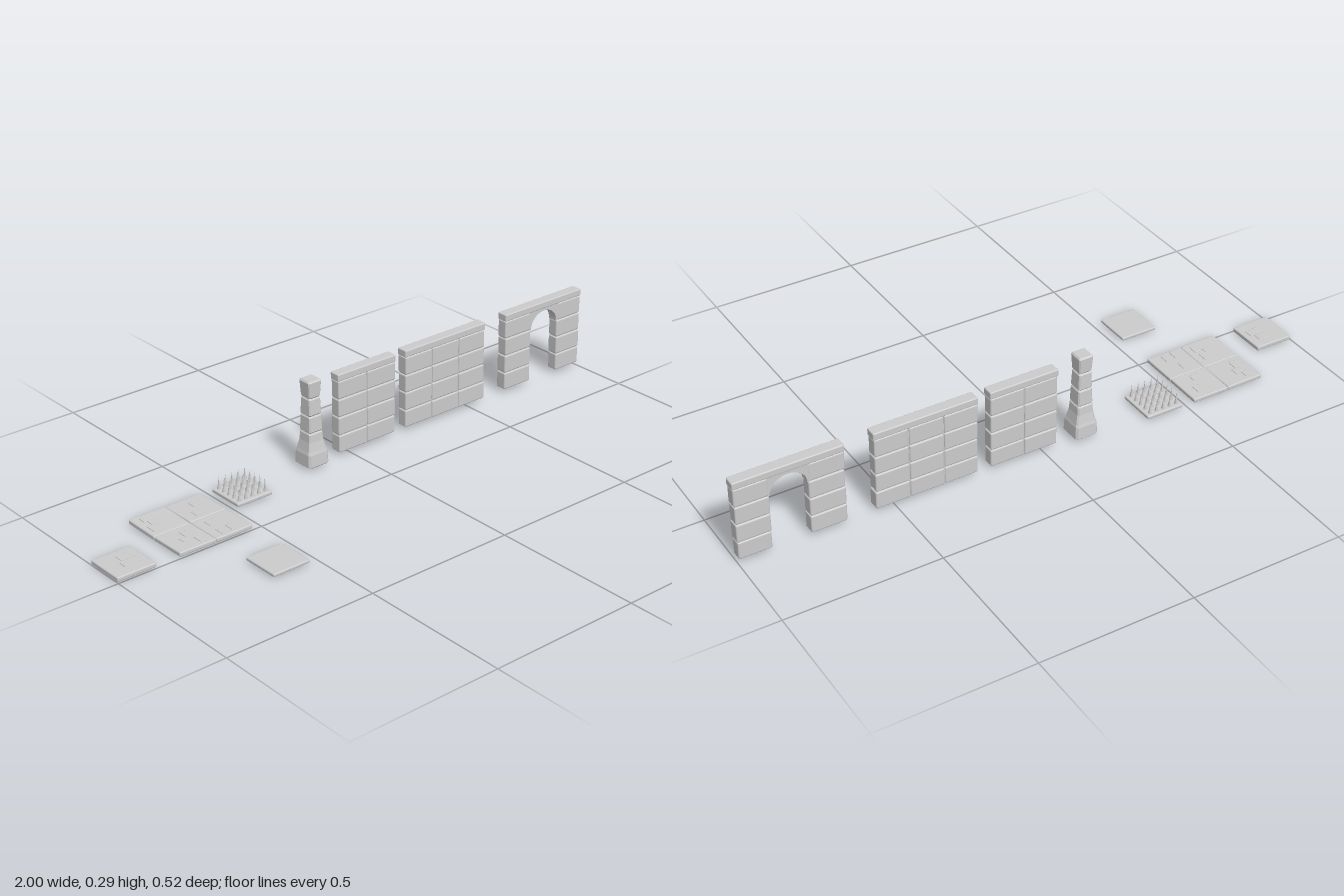
import * as THREE from 'three';
import { RoundedBoxGeometry } from 'three/addons/geometries/RoundedBoxGeometry.js';

const stone = new THREE.MeshStandardMaterial({ color: 0xcccccc });
const facetedStone = new THREE.MeshStandardMaterial({ color: 0xcccccc, flatShading: true });

let seed = 7;
const jitter = (a) => {
  seed = (seed * 16807) % 2147483647;
  return (seed / 2147483647 - 0.5) * 2 * a;
};

function add(parent, name, geometry, x = 0, y = 0, z = 0, material = stone) {
  const mesh = new THREE.Mesh(geometry, material);
  mesh.name = name;
  mesh.position.set(x, y, z);
  parent.add(mesh);
  return mesh;
}

// Bevelled block given by its limits in x and y and its depth in z
function block(parent, name, x0, x1, y0, y1, depth, z, r = 0.005) {
  const geometry = new RoundedBoxGeometry(x1 - x0, y1 - y0, depth, 2, r);
  return add(parent, name, geometry, (x0 + x1) / 2, (y0 + y1) / 2, z);
}

function group(parent, name) {
  const g = new THREE.Group();
  g.name = name;
  parent.add(g);
  return g;
}

const WALL_Z = -0.21;
const ROWS = [0.017, 0.077, 0.139, 0.2, 0.262];

// Stacked courses of blocks between x0 and x1 over a recessed core
function courses(parent, x0, x1, columns) {
  const width = (x1 - x0) / columns;
  for (let r = 0; r < 4; r++) {
    for (let c = 0; c < columns; c++) {
      const a = x0 + c * width, left = c === 0, right = c === columns - 1;
      block(parent, 'wallBlock',
        a + 0.001 + (left ? Math.abs(jitter(0.002)) : 0),
        a + width - 0.001 - (right ? Math.abs(jitter(0.002)) : 0),
        ROWS[r] + 0.001, ROWS[r + 1] - 0.001, 0.037 + jitter(0.0015), WALL_Z);
    }
  }
  block(parent, 'wallCore', x0 + 0.006, x1 - 0.006, 0.019, 0.27, 0.029, WALL_Z, 0.001);
}

function capStone(parent, x0, x1) {
  block(parent, 'wallCap', x0, x1, 0.261, 0.285, 0.038, WALL_Z, 0.004);
}

function wall(parent, name, x0, x1, columns) {
  const g = group(parent, name);
  courses(g, x0, x1, columns);
  capStone(g, x0, x1);
}

function archWall(parent) {
  const g = group(parent, 'archWall');
  const inL = 0.773, inR = 0.89, mid = (inL + inR) / 2, radius = (inR - inL) / 2;
  courses(g, 0.655, inL, 1);
  courses(g, inR, 1, 1);
  capStone(g, 0.655, 1);
  // Two spandrel stones, each with a quarter arc cut from it
  for (const side of [-1, 1]) {
    const s = new THREE.Shape();
    s.moveTo(side * (radius + 0.01), 0.2);
    s.lineTo(side * radius, 0.2);
    for (let i = 1; i <= 10; i++) {
      const t = (i / 10) * Math.PI / 2;
      s.lineTo(side * radius * Math.cos(t), 0.2 + 0.053 * Math.sin(t));
    }
    s.lineTo(0, 0.266);
    s.lineTo(side * (radius + 0.01), 0.266);
    const geometry = new THREE.ExtrudeGeometry(s, {
      depth: 0.03, bevelEnabled: true, bevelSize: 0.001, bevelThickness: 0.002, bevelSegments: 1,
    });
    add(g, 'archSpandrel', geometry, mid, 0, WALL_Z - 0.015);
  }
}

// Chamfered square section swept through rings of [height, half width]
function squareLoft(rings) {
  const positions = [], index = [];
  for (const [y, h] of rings) {
    const c = h * 0.84;
    for (const [x, z] of [[h, c], [c, h], [-c, h], [-h, c], [-h, -c], [-c, -h], [c, -h], [h, -c]]) {
      positions.push(x, y, z);
    }
  }
  for (let r = 0; r < rings.length - 1; r++) {
    for (let i = 0; i < 8; i++) {
      const a = r * 8 + i, b = r * 8 + (i + 1) % 8;
      index.push(a, a + 8, b, b, a + 8, b + 8);
    }
  }
  const top = (rings.length - 1) * 8;
  for (let i = 1; i < 7; i++) {
    index.push(0, i, i + 1, top, top + i + 1, top + i);
  }
  const geometry = new THREE.BufferGeometry();
  geometry.setAttribute('position', new THREE.Float32BufferAttribute(positions, 3));
  geometry.setIndex(index);
  const flat = geometry.toNonIndexed();
  flat.computeVertexNormals();
  return flat;
}

function pillar(parent) {
  const g = group(parent, 'pillar');
  const x = -0.144, z = -0.209;
  const base = [[0.013, 0.035], [0.017, 0.039], [0.056, 0.037], [0.066, 0.034],
    [0.095, 0.028], [0.12, 0.026], [0.125, 0.022]];
  add(g, 'pillarBase', squareLoft(base), x, 0, z, facetedStone);
  // Shaft blocks, each as [bottom, top, lower half width, upper half width]
  for (const [a, b, h0, h1] of [[0.124, 0.181, 0.026, 0.024], [0.18, 0.239, 0.024, 0.022],
    [0.238, 0.297, 0.022, 0.025]]) {
    const rings = [[a, h0 - 0.004], [a + 0.005, h0], [b - 0.005, h1], [b, h1 - 0.004]];
    add(g, 'pillarBlock', squareLoft(rings), x, 0, z, facetedStone);
  }
}

// Bevelled floor slab, optionally with shallow worn patches on top
function slab(parent, name, x, z, y0, y1, patches, size = 0.128) {
  const g = group(parent, name);
  const h = y1 - y0;
  add(g, 'slab', new RoundedBoxGeometry(size, h, size, 2, 0.004));
  for (let i = 0; i < patches; i++) {
    const w = 0.03 + jitter(0.008), d = 0.03 + jitter(0.008);
    add(g, 'wornPatch', new RoundedBoxGeometry(w, 0.004, d, 1, 0.0015),
      jitter(0.04), h / 2, jitter(0.04));
  }
  g.position.set(x, (y0 + y1) / 2, z);
  return g;
}

function spikeTrap(parent) {
  const g = group(parent, 'spikeTrap');
  const x = -0.4215, z = -0.1965;
  slab(g, 'spikePlate', x, z, 0.006, 0.018, 0, 0.13);
  const profile = [[0.0065, 0], [0.0055, 0.004], [0.003, 0.015], [0.0014, 0.03], [0, 0.046]]
    .map(([r, y]) => new THREE.Vector2(r, y));
  const geometry = new THREE.LatheGeometry(profile, 8);
  for (let i = -2; i <= 2; i++) {
    for (let j = -2; j <= 2; j++) {
      add(g, 'spike', geometry, x + i * 0.0242, 0.017, z + j * 0.0252);
    }
  }
}

export function createModel() {
  const model = new THREE.Group();
  model.name = 'dungeonPieces';

  wall(model, 'shortWall', -0.05, 0.183, 2);
  wall(model, 'longWall', 0.223, 0.565, 3);
  archWall(model);
  pillar(model);
  spikeTrap(model);

  // Single tiles: one worn, one smooth
  slab(model, 'wornTile', -0.934, -0.069, 0.005, 0.02, 4, 0.132);
  slab(model, 'smoothTile', -0.594, 0.198, 0.007, 0.018, 0);

  // Two by two floor with slightly uneven tiles
  const floor = group(model, 'floorSection');
  for (const i of [-1, 1]) {
    for (const j of [-1, 1]) {
      const tile = slab(floor, 'floorTile', -0.6585 + i * 0.0645, -0.1325 + j * 0.0645,
        0.005, 0.019, 3, 0.129);
      tile.rotation.set(jitter(0.015), 0, jitter(0.015));
    }
  }
  block(floor, 'floorBed', -0.78, -0.537, 0.004, 0.014, 0.243, -0.1325, 0.002);
  return model;
}
